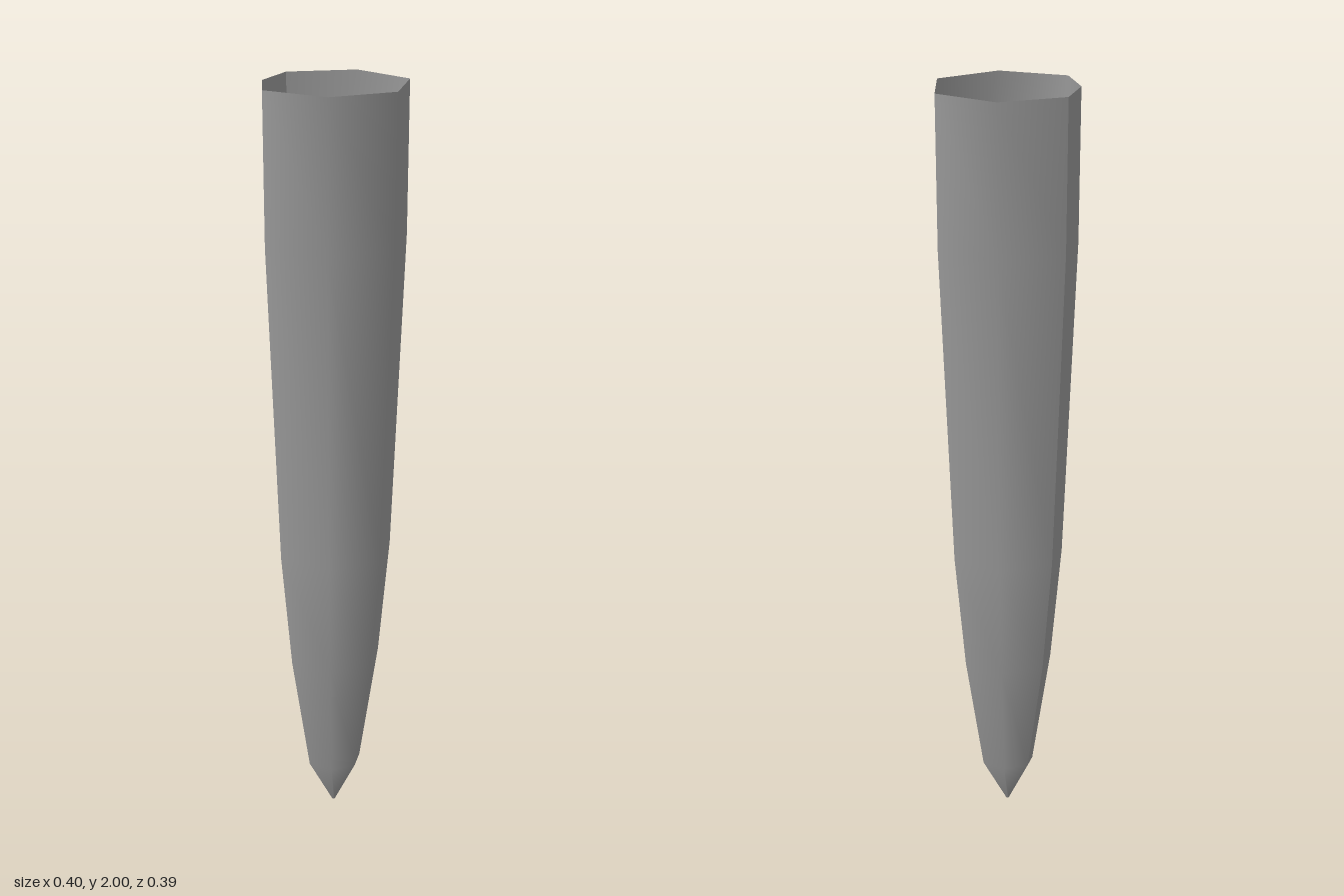
import * as THREE from 'three';

// Rim corners as [x, z], starting and ending at the seam
const RIM = [
  [-0.2, -0.01], [-0.139, 0.111], [-0.023, 0.196], [0.153, 0.126],
  [0.199, -0.056], [0.073, -0.198], [-0.113, -0.175], [-0.2, -0.01],
];
// Axis of the taper
const CX = 0.002, CZ = -0.009;
// Taper as [scale of the rim, height], from the tip up
const PROFILE = [[0.02, 0], [0.37, 0.126], [0.63, 0.44], [0.785, 0.75], [0.98, 1.6], [1, 2]];

export function createModel() {
  const group = new THREE.Group();
  group.name = 'taperedSpike';

  // Hollow shell: a seven-sided lathe whose columns are moved onto the uneven rim
  const geometry = new THREE.LatheGeometry(PROFILE.map(([s, y]) => new THREE.Vector2(s, y)), RIM.length - 1);
  const position = geometry.attributes.position;
  RIM.forEach(([x, z], column) => {
    PROFILE.forEach(([s, y], row) => {
      position.setXYZ(column * PROFILE.length + row, CX + (x - CX) * s, y, CZ + (z - CZ) * s);
    });
  });
  // Smooth around the shell, with a crease at the seam
  geometry.computeVertexNormals();

  const shell = new THREE.Mesh(
    geometry,
    new THREE.MeshStandardMaterial({ color: 0x999999, side: THREE.DoubleSide }),
  );
  shell.name = 'shell';
  group.add(shell);
  return group;
}
